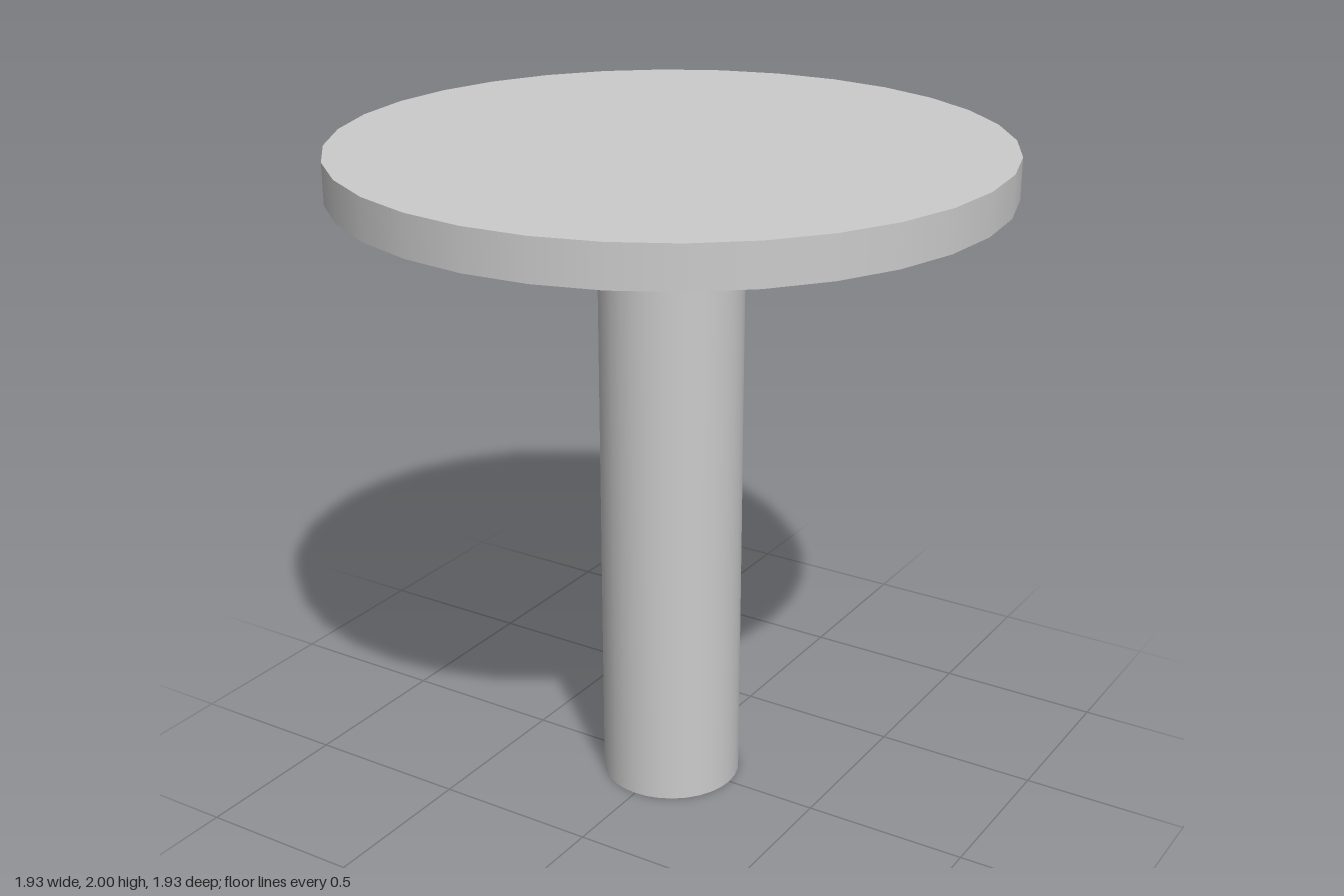
import * as THREE from 'three';

const SIDES = 32;
const HEIGHT = 2;
const TOP_THICKNESS = 0.12;

export function createModel() {
  const group = new THREE.Group();
  group.name = 'pedestalTable';
  const material = new THREE.MeshStandardMaterial({ color: 0xcccccc });

  // Upright round part standing on the given height
  function addDisc(name, radius, height, bottom) {
    const mesh = new THREE.Mesh(new THREE.CylinderGeometry(radius, radius, height, SIDES), material);
    mesh.name = name;
    mesh.position.y = bottom + height / 2;
    group.add(mesh);
  }

  // Central column
  addDisc('column', 0.212, HEIGHT - TOP_THICKNESS, 0);
  // Round table top
  addDisc('tableTop', 0.967, TOP_THICKNESS, HEIGHT - TOP_THICKNESS);

  return group;
}
